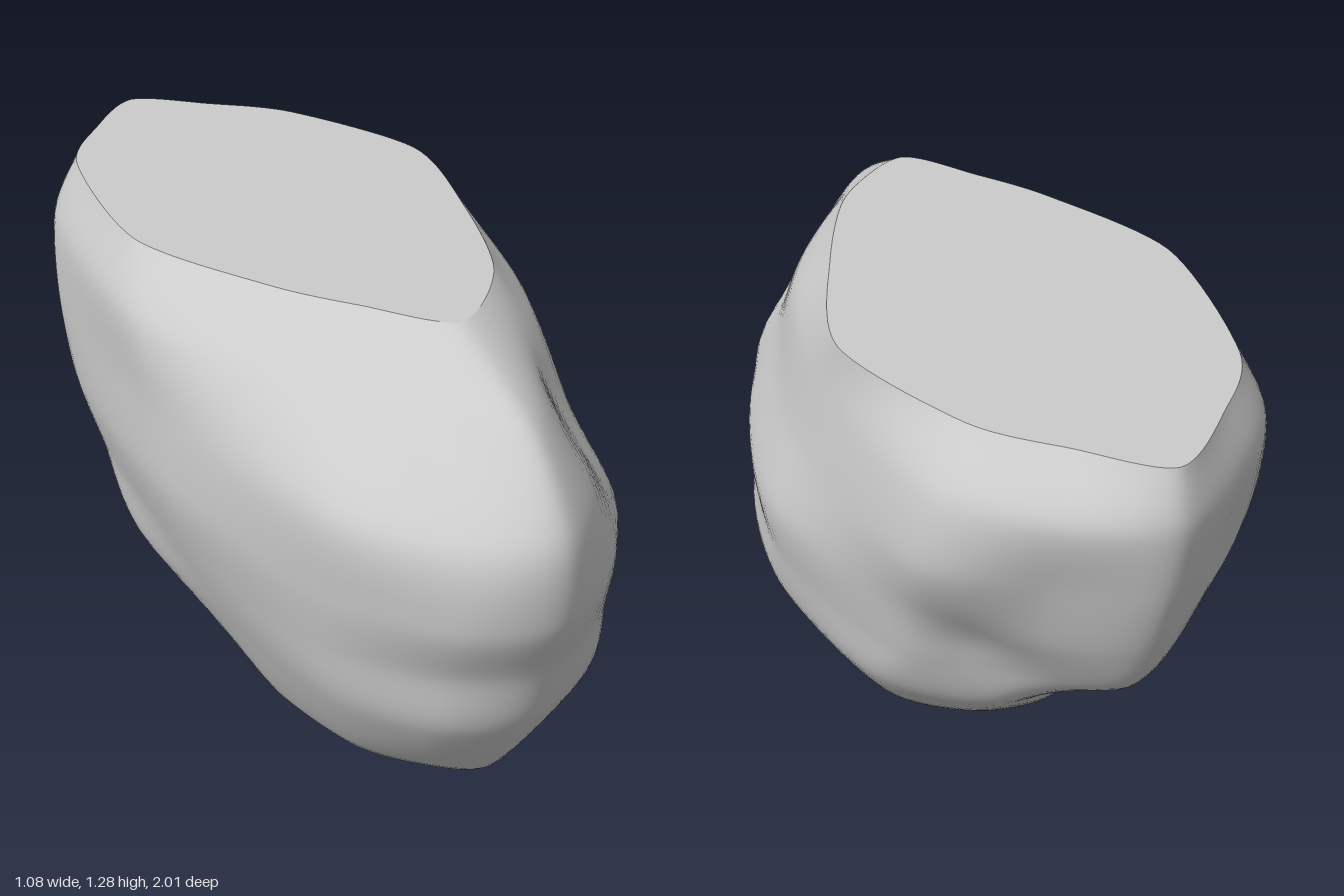
import * as THREE from 'three';

const AROUND = 120, UP = 64, HEIGHT = 1.28;

// Directions of the main ridges, in degrees from the front round by the left
const ridges = [0, 30, 62, 92, 127, 155, 180, 205, 230, 270, 310, 337];

// One level of the boulder: height, centre, half width, half depth and
// a radius factor for each ridge. The long axis leans across the depth.
function ring(y, cx, cz, a, b, factors = ridges.map(() => 1)) {
  const pts = factors.map((m, k) => {
    const t = THREE.MathUtils.degToRad(ridges[k]);
    const z = cz + m * b * Math.cos(t);
    return new THREE.Vector3(cx - 0.16 * z + m * a * Math.sin(t), y, z);
  });
  return new THREE.CatmullRomCurve3(pts, true, 'catmullrom', 0.4);
}

const levels = [
  ring(0.015, 0.12, 0.3, 0.07, 0.08),
  ring(0.08, 0.06, 0.28, 0.17, 0.22),
  ring(0.22, -0.03, 0.21, 0.37, 0.53, [1, 1, 1.05, 1.04, 1.05, 1, 1, 0.9, 0.78, 0.74, 0.79, 0.87]),
  ring(0.45, -0.04, 0.17, 0.5, 0.72, [1, 1.04, 1.07, 1.06, 1.08, 1.06, 1, 1, 1, 0.75, 0.84, 0.94]),
  ring(0.62, -0.04, 0.07, 0.53, 0.87, [1, 1.02, 1.02, 1.05, 0.98, 0.9, 1, 0.95, 0.96, 0.83, 0.89, 0.95]),
  ring(0.78, -0.04, 0.05, 0.55, 0.95, [1, 0.98, 0.99, 1.05, 0.97, 0.92, 1, 0.95, 0.99, 0.87, 0.9, 0.97]),
  ring(0.97, -0.04, 0.01, 0.53, 0.98, [1, 0.92, 0.89, 0.98, 1.04, 0.94, 1, 0.95, 1.02, 0.9, 0.94, 0.97]),
  ring(1.15, -0.04, -0.08, 0.51, 0.92, [1, 0.87, 0.89, 0.95, 1, 0.96, 1, 0.97, 1, 0.93, 0.82, 0.84]),
  ring(HEIGHT, -0.04, -0.19, 0.44, 0.78, [1, 0.94, 0.91, 1.05, 0.92, 0.88, 1, 0.93, 0.95, 0.91, 0.77, 0.82]),
];

// Shallow hollows and a knob: centre, radius, inward depth
const dents = [
  [0.1, 1.04, 0.72, 0.14, 0.04],
  [0.2, 0.8, 0.72, 0.12, -0.02],
  [0.38, 0.7, -0.62, 0.11, 0.03],
];

function weather(p) {
  const inward = new THREE.Vector3(-0.08 * p.z - p.x, 0, -0.4 * p.z).normalize();
  let push = 0;
  for (const [x, y, z, r, depth] of dents) {
    const d2 = (p.x - x) ** 2 + (p.y - y) ** 2 + (p.z - z) ** 2;
    push += depth * Math.exp(-d2 / (r * r));
  }
  return p.addScaledVector(inward, push);
}

export function createModel() {
  const group = new THREE.Group();
  group.name = 'boulder';
  const material = new THREE.MeshStandardMaterial({ color: 0xcccccc });

  // Columns run from the lowest point up through every level
  const positions = [], index = [], rim = [];
  for (let i = 0; i < AROUND; i++) {
    const column = [new THREE.Vector3(0.08, 0, 0.3)];
    for (const level of levels) column.push(level.getPoint(i / AROUND));
    const curve = new THREE.CatmullRomCurve3(column, false, 'catmullrom', 0.42);
    for (let j = 0; j <= UP; j++) {
      const p = weather(curve.getPoint(j / UP));
      positions.push(p.x, p.y, p.z);
      if (j === UP) {
        rim.push(new THREE.Vector2(p.x, -p.z));
        continue;
      }
      const a = i * (UP + 1) + j;
      const b = ((i + 1) % AROUND) * (UP + 1) + j;
      if (j > 0) index.push(a, b, b + 1);
      index.push(a, b + 1, a + 1);
    }
  }
  const side = new THREE.BufferGeometry();
  side.setAttribute('position', new THREE.Float32BufferAttribute(positions, 3));
  side.setIndex(index);
  side.computeVertexNormals();
  const body = new THREE.Mesh(side, material);
  body.name = 'rockBody';
  group.add(body);

  // Flat cut across the top, following the rim
  const cap = new THREE.ShapeGeometry(new THREE.Shape(rim));
  cap.rotateX(-Math.PI / 2).translate(0, HEIGHT, 0);
  const top = new THREE.Mesh(cap, material);
  top.name = 'flatTop';
  group.add(top);
  return group;
}
